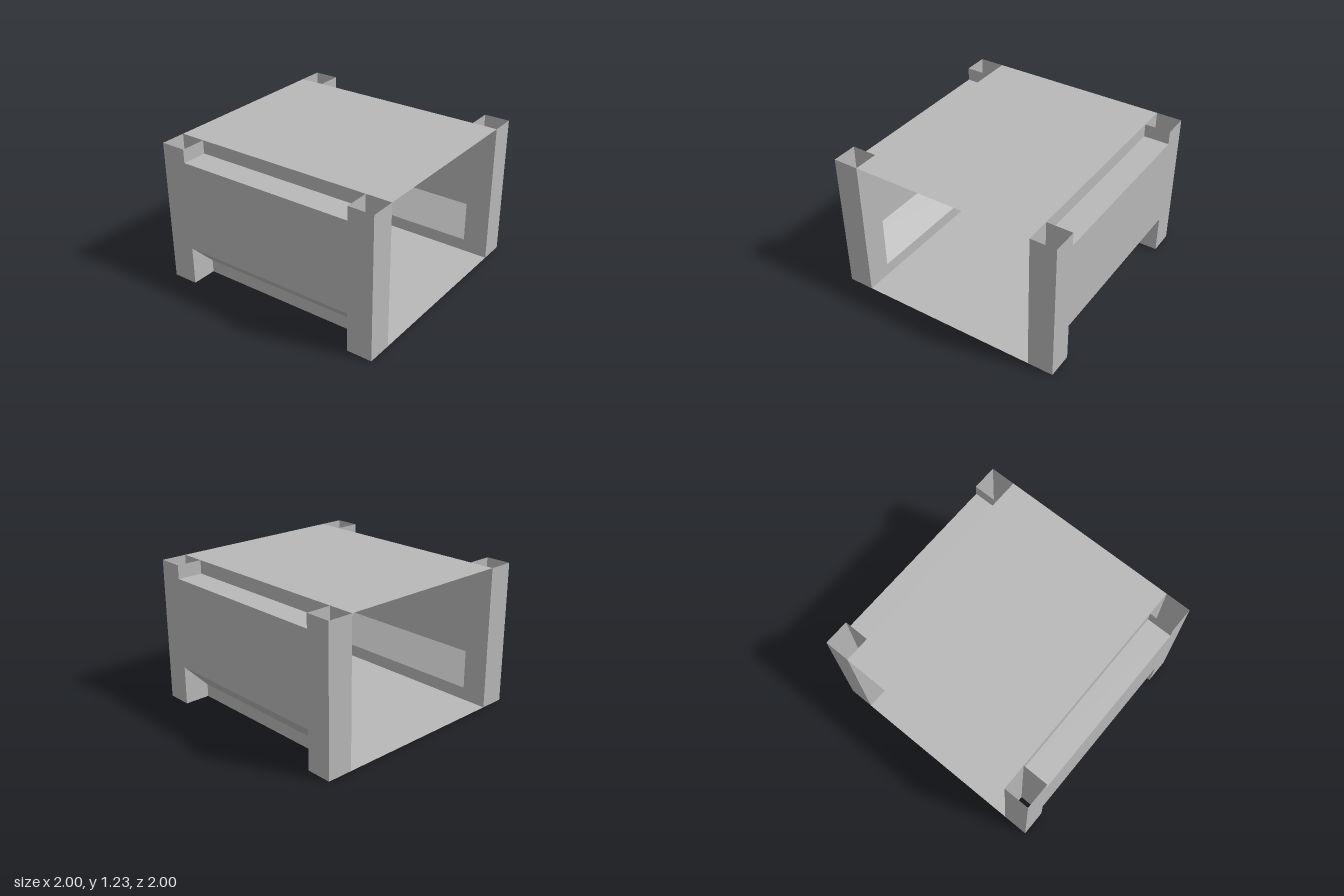
import * as THREE from 'three';

const H = 1.225;         // overall height
const IN = 0.78;         // inner wall / notch position
const LEDGE = 1.11;      // top notch depth
const SLOPE_IN = 0.11;   // lower slope, inner edge
const SLOPE_OUT = 0.335; // lower slope, outer edge

const grey = new THREE.MeshStandardMaterial({ color: 0xb8b8b8, side: THREE.DoubleSide });
grey.name = 'plainGrey';

function add(parent, name, geometry, x = 0, y = 0, z = 0) {
  const mesh = new THREE.Mesh(geometry, grey);
  mesh.name = name;
  mesh.position.set(x, y, z);
  parent.add(mesh);
  return mesh;
}

const polygon = (points) => points.map(([x, y]) => new THREE.Vector2(x, y));

// One hollow side: outer wall, windowed inner wall, post walls, ledge and slope
function buildSide(name) {
  const side = new THREE.Group();
  side.name = name;
  const width = 1 - IN;
  const mid = (1 + IN) / 2;

  // Outer wall, notched above and below between the posts
  const outer = new THREE.Shape(polygon([
    [-1, 0], [-IN, 0], [-IN, SLOPE_OUT], [IN, SLOPE_OUT], [IN, 0], [1, 0],
    [1, H], [IN, H], [IN, LEDGE], [-IN, LEDGE], [-IN, H], [-1, H],
  ]));
  add(side, 'outerWall', new THREE.ShapeGeometry(outer).rotateY(Math.PI / 2), 1);

  // Inner wall with a long window
  const inner = new THREE.Shape(polygon([[-1, 0], [1, 0], [1, H], [-1, H]]));
  inner.holes.push(new THREE.Path(polygon([
    [-IN, SLOPE_IN], [-IN, LEDGE], [IN, LEDGE], [IN, SLOPE_IN],
  ])));
  add(side, 'innerWall', new THREE.ShapeGeometry(inner).rotateY(-Math.PI / 2), IN);

  // Cross walls closing the open-ended corner posts
  for (const s of [-1, 1]) {
    const turn = s > 0 ? 0 : Math.PI;
    add(side, 'postEndWall', new THREE.PlaneGeometry(width, H).rotateY(turn), mid, H / 2, s);
    add(side, 'postInsideWall', new THREE.PlaneGeometry(width, H).rotateY(turn + Math.PI), mid, H / 2, s * IN);
  }

  // Upper ledge
  add(side, 'ledge', new THREE.PlaneGeometry(width, 2 * IN).rotateX(-Math.PI / 2), mid, LEDGE, 0);

  // Sloping floor from the inner wall up to the outer wall
  const rise = SLOPE_OUT - SLOPE_IN;
  const slope = new THREE.PlaneGeometry(Math.hypot(width, rise), 2 * IN)
    .rotateX(-Math.PI / 2)
    .rotateZ(Math.atan2(rise, width));
  add(side, 'slope', slope, mid, (SLOPE_IN + SLOPE_OUT) / 2, 0);
  return side;
}

export function createModel() {
  const model = new THREE.Group();
  model.name = 'openCrate';

  // Thin top and bottom panels
  add(model, 'topPanel', new THREE.PlaneGeometry(2 * IN, 2).rotateX(-Math.PI / 2), 0, H, 0);
  add(model, 'bottomPanel', new THREE.PlaneGeometry(2 * IN, 2).rotateX(Math.PI / 2), 0, 0, 0);

  // Matching hollow sides
  const left = buildSide('leftSide');
  const right = buildSide('rightSide');
  right.rotation.y = Math.PI;
  model.add(left, right);
  return model;
}
